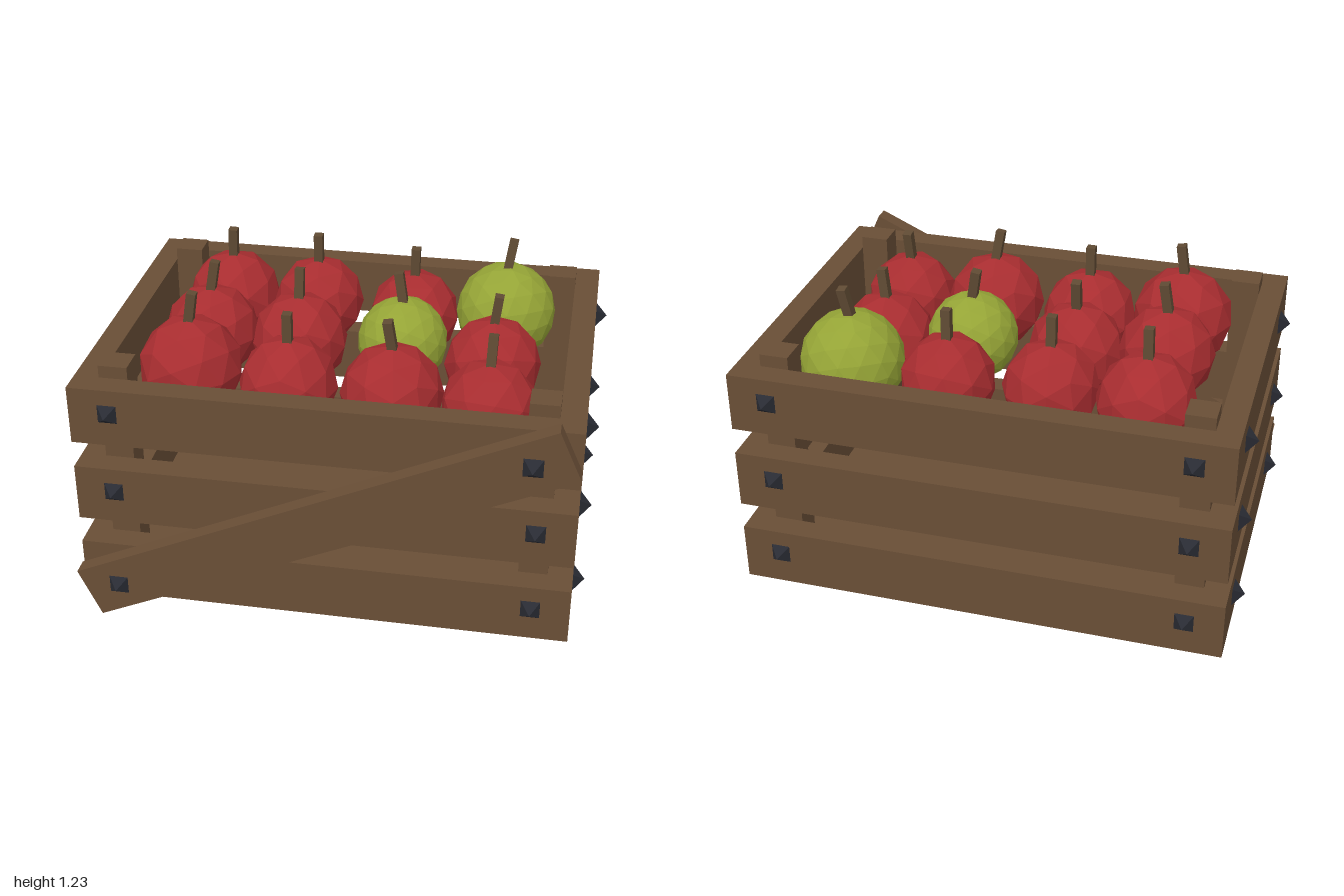
import * as THREE from 'three';

const wood = new THREE.MeshStandardMaterial({ color: 0x694e36 });
wood.name = 'brown wood';
const stemWood = new THREE.MeshStandardMaterial({ color: 0x5f4a33 });
stemWood.name = 'stem brown';
const iron = new THREE.MeshStandardMaterial({ color: 0x292b33 });
iron.name = 'dark iron';
const red = new THREE.MeshStandardMaterial({ color: 0xa82d30 });
red.name = 'apple red';
const green = new THREE.MeshStandardMaterial({ color: 0x95a436 });
green.name = 'apple green';

// Faceted copy of a geometry
function flat(geometry) {
  const g = geometry.index ? geometry.toNonIndexed() : geometry;
  g.computeVertexNormals();
  return g;
}

function add(parent, name, geometry, material, x = 0, y = 0, z = 0) {
  const mesh = new THREE.Mesh(geometry, material);
  mesh.name = name;
  mesh.position.set(x, y, z);
  parent.add(mesh);
  return mesh;
}

export function createModel() {
  const model = new THREE.Group();
  model.name = 'appleCrate';

  const crate = new THREE.Group();
  crate.name = 'crate';
  crate.position.z = -0.05;
  model.add(crate);

  // Floor and corner posts
  add(crate, 'floor', new THREE.BoxGeometry(1.72, 0.06, 1.19), wood, 0, 0.064, 0);
  const postGeo = new THREE.BoxGeometry(0.112, 0.99, 0.112);
  for (const sx of [-1, 1])
    for (const sz of [-1, 1]) add(crate, 'cornerPost', postGeo, wood, sx * 0.803, 0.53, sz * 0.538);

  // Pyramid nail, pointing along +z
  const nailGeo = flat(new THREE.ConeGeometry(0.053, 0.046, 4).rotateY(Math.PI / 4))
    .rotateX(Math.PI / 2).translate(0, 0, 0.022);

  // Three rings of slats with nails on every side
  const outline = (w, d, Kind) => new Kind([
    new THREE.Vector2(-w, -d), new THREE.Vector2(w, -d),
    new THREE.Vector2(w, d), new THREE.Vector2(-w, d),
  ]);
  const ring = outline(0.955, 0.69, THREE.Shape);
  ring.holes.push(outline(0.859, 0.594, THREE.Path));
  const ringGeo = new THREE.ExtrudeGeometry(ring, { depth: 0.235, bevelEnabled: false });
  ringGeo.rotateX(-Math.PI / 2);
  for (const y of [0.05, 0.396, 0.74]) {
    add(crate, 'slatRing', ringGeo, wood, 0, y, 0);
    const ny = y + 0.135;
    for (const s of [-1, 1]) {
      add(crate, 'frontNail', nailGeo, iron, s * 0.805, ny, 0.69);
      add(crate, 'backNail', nailGeo, iron, s * 0.805, ny, -0.69).rotation.y = Math.PI;
      for (const side of [-1, 1])
        add(crate, 'sideNail', nailGeo, iron, side * 0.955, ny, s * 0.46).rotation.y = side * Math.PI / 2;
    }
  }

  // Diagonal front plank
  const plank = add(model, 'diagonalPlank', new THREE.BoxGeometry(2.0, 0.212, 0.066), wood, 0, 0.514, 0.693);
  plank.rotation.z = 0.426;
  add(model, 'plankNail', nailGeo, iron, -0.787, 0.157, 0.726);
  add(model, 'plankNail', nailGeo, iron, 0.782, 0.87, 0.726);

  // Apples: x, z, radius, height of the top, stem lean in x and z, green
  const apples = [
    [-0.565, -0.39, 0.19, 1.09, 0.03, 0.06],
    [-0.2, -0.39, 0.183, 1.09, 0, 0.05],
    [0.205, -0.39, 0.183, 1.06, 0.02, 0.05],
    [0.585, -0.405, 0.2, 1.115, 0.15, -0.15, true],
    [-0.57, -0.03, 0.187, 1.1, 0.16, -0.05],
    [-0.215, -0.055, 0.19, 1.08, 0, -0.15],
    [0.2, -0.08, 0.177, 1.085, -0.17, -0.1, true],
    [0.565, -0.07, 0.19, 1.03, 0.12, 0.05],
    [-0.575, 0.285, 0.2, 1.115, 0.15, 0],
    [-0.19, 0.285, 0.19, 1.06, 0, 0.02],
    [0.215, 0.3, 0.196, 1.075, -0.15, 0.1],
    [0.585, 0.295, 0.182, 1.035, 0.03, -0.17],
  ];
  const redGeo = flat(new THREE.IcosahedronGeometry(1, 1));
  const greenGeo = flat(new THREE.IcosahedronGeometry(1, 2));
  const stemGeo = new THREE.BoxGeometry(0.036, 0.16, 0.036).translate(0, 0.045, 0);
  apples.forEach(([x, z, r, top, leanX, leanZ, isGreen], i) => {
    const apple = new THREE.Group();
    apple.name = isGreen ? 'greenApple' : 'redApple';
    apple.position.set(x, top - r, z);
    model.add(apple);
    const body = add(apple, 'appleBody', isGreen ? greenGeo : redGeo, isGreen ? green : red);
    body.scale.setScalar(r * 1.02);
    body.rotation.y = i * 0.7;
    const stem = add(apple, 'stem', stemGeo, stemWood, 0, r - 0.01, 0);
    stem.rotation.set(leanZ, 0, -leanX);
  });

  return model;
}
